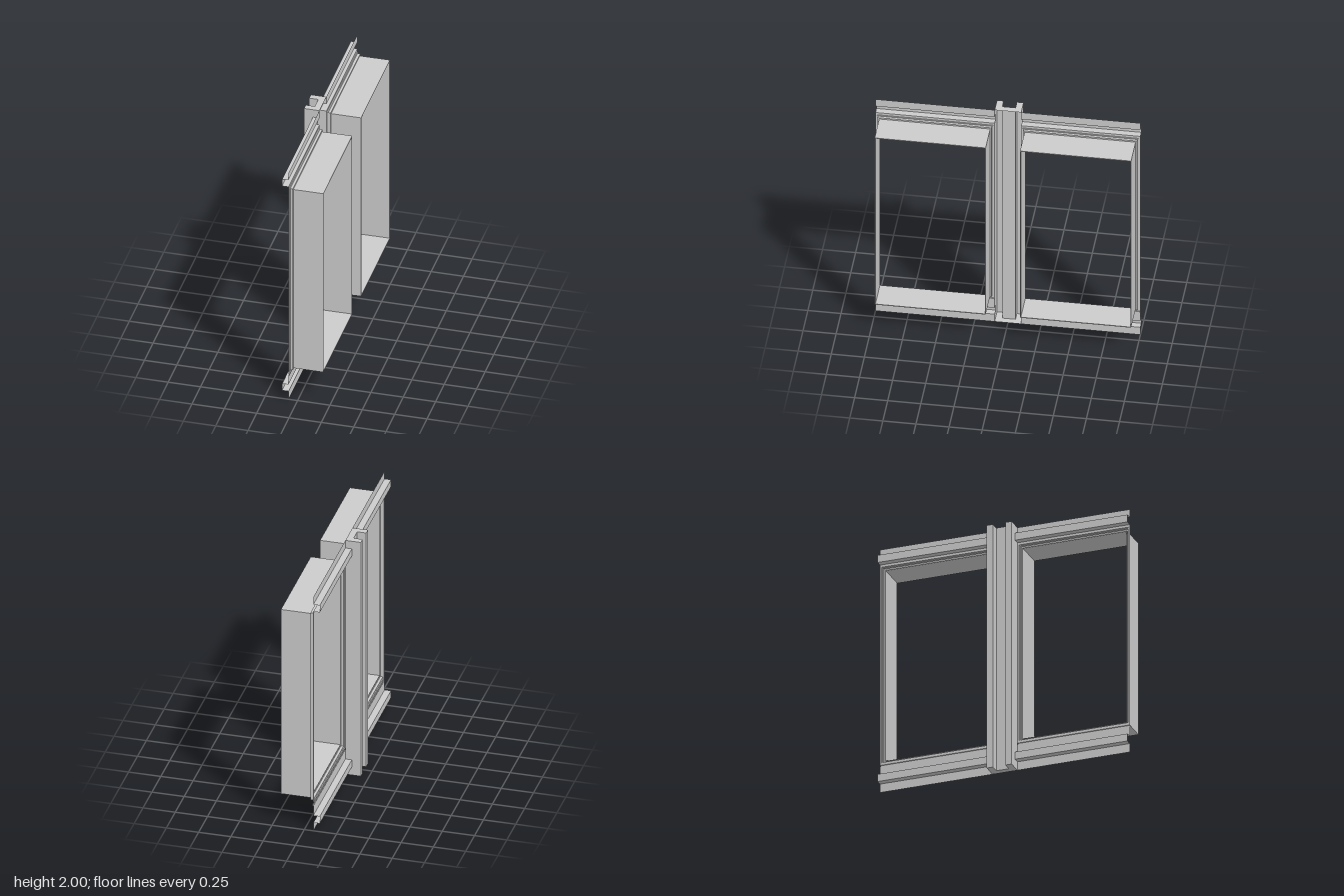
import * as THREE from 'three';

const grey = new THREE.MeshStandardMaterial({ color: 0xcccccc, side: THREE.DoubleSide });

function addMesh(parent, name, geometry) {
  const mesh = new THREE.Mesh(geometry, grey);
  mesh.name = name;
  parent.add(mesh);
  return mesh;
}

// Thin folded sheet: joins matching point lists with flat quads
function loft(sections, closed = false) {
  const pos = [];
  for (let s = 0; s < sections.length - 1; s++) {
    const a = sections[s], b = sections[s + 1];
    const n = closed ? a.length : a.length - 1;
    for (let i = 0; i < n; i++) {
      const j = (i + 1) % a.length;
      pos.push(...a[i], ...a[j], ...b[j], ...a[i], ...b[j], ...b[i]);
    }
  }
  const g = new THREE.BufferGeometry();
  g.setAttribute('position', new THREE.Float32BufferAttribute(pos, 3));
  g.computeVertexNormals();
  return g;
}

const shapeOf = (pts) => new THREE.Shape(pts.map(([x, y]) => new THREE.Vector2(x, y)));

const FACE = -0.07;    // main sheet plane
const RECESS = -0.12;  // channel bottom
const BACK = -0.19;    // rear of the post

// Hollow U-shaped post, open towards +x, notched where the rails meet it
function buildPost() {
  const post = new THREE.Group();
  post.name = 'centrePost';
  const profile = [[BACK, 0.1], [BACK, 0.05], [RECESS, 0.05],
    [RECESS, -0.05], [BACK, -0.05], [BACK, -0.1]];
  addMesh(post, 'postBack', loft([0, 2].map((y) => profile.map(([x, z]) => [x, y, z]))));

  const wall = shapeOf([[BACK, 0], [FACE, 0], [FACE, 0.07], [RECESS, 0.07],
    [RECESS, 0.13], [FACE, 0.13], [FACE, 1.875], [RECESS, 1.875],
    [RECESS, 1.935], [FACE, 1.935], [FACE, 2], [BACK, 2]]);
  for (const side of [1, -1]) {
    const g = new THREE.ShapeGeometry(wall);
    if (side < 0) g.rotateY(Math.PI).scale(-1, 1, 1);
    addMesh(post, 'postSide', g).position.z = 0.1 * side;
  }

  const cap = shapeOf([...profile, [FACE, -0.1], [FACE, 0.1]]);
  for (const y of [0, 2]) {
    const g = new THREE.ShapeGeometry(cap);
    g.rotateX(-Math.PI / 2);
    addMesh(post, 'postCap', g).position.y = y;
  }
  return post;
}

// One window opening with the rails above and below it
function buildBay(side) {
  const bay = new THREE.Group();
  bay.name = side > 0 ? 'frontBay' : 'backBay';
  const zs = [0.1 * side, side];
  const sweep = (pts) => loft(zs.map((z) => pts.map(([x, y]) => [x, y, z])));

  addMesh(bay, 'bottomRail', sweep([[FACE, 0], [FACE, 0.07], [RECESS, 0.07],
    [RECESS, 0.13], [FACE, 0.13], [FACE, 0.213], [-0.062, 0.213],
    [-0.062, 0.224], [FACE, 0.224]]));
  addMesh(bay, 'topRail', sweep([[FACE, 1.87], [FACE, 1.875], [RECESS, 1.875],
    [RECESS, 1.935], [FACE, 1.935], [FACE, 2]]));

  // Stepped surround running out into the deep thin-walled reveal
  const loop = (x, z0, z1, y0, y1) => [[x, y0, z0 * side], [x, y0, z1 * side],
    [x, y1, z1 * side], [x, y1, z0 * side]];
  const step = loop(-0.042, 0.12, 0.98, 0.25, 1.85);
  const root = loop(-0.042, 0.13, 0.968, 0.262, 1.838);
  addMesh(bay, 'windowSurround', loft([
    loop(FACE, 0.1, 1, 0.224, 1.87),
    loop(FACE, 0.112, 0.987, 0.243, 1.855),
    loop(-0.062, 0.112, 0.987, 0.243, 1.855),
    loop(-0.062, 0.12, 0.98, 0.25, 1.85),
    step, root], true));
  addMesh(bay, 'windowReveal', loft([root,
    loop(0.19, 0.13, 0.968, 0.262, 1.838),
    loop(0.19, 0.136, 0.962, 0.268, 1.832),
    loop(-0.042, 0.136, 0.962, 0.268, 1.832)], true));
  return bay;
}

export function createModel() {
  const model = new THREE.Group();
  model.name = 'doubleWindowFrame';
  model.add(buildPost(), buildBay(1), buildBay(-1));
  return model;
}
